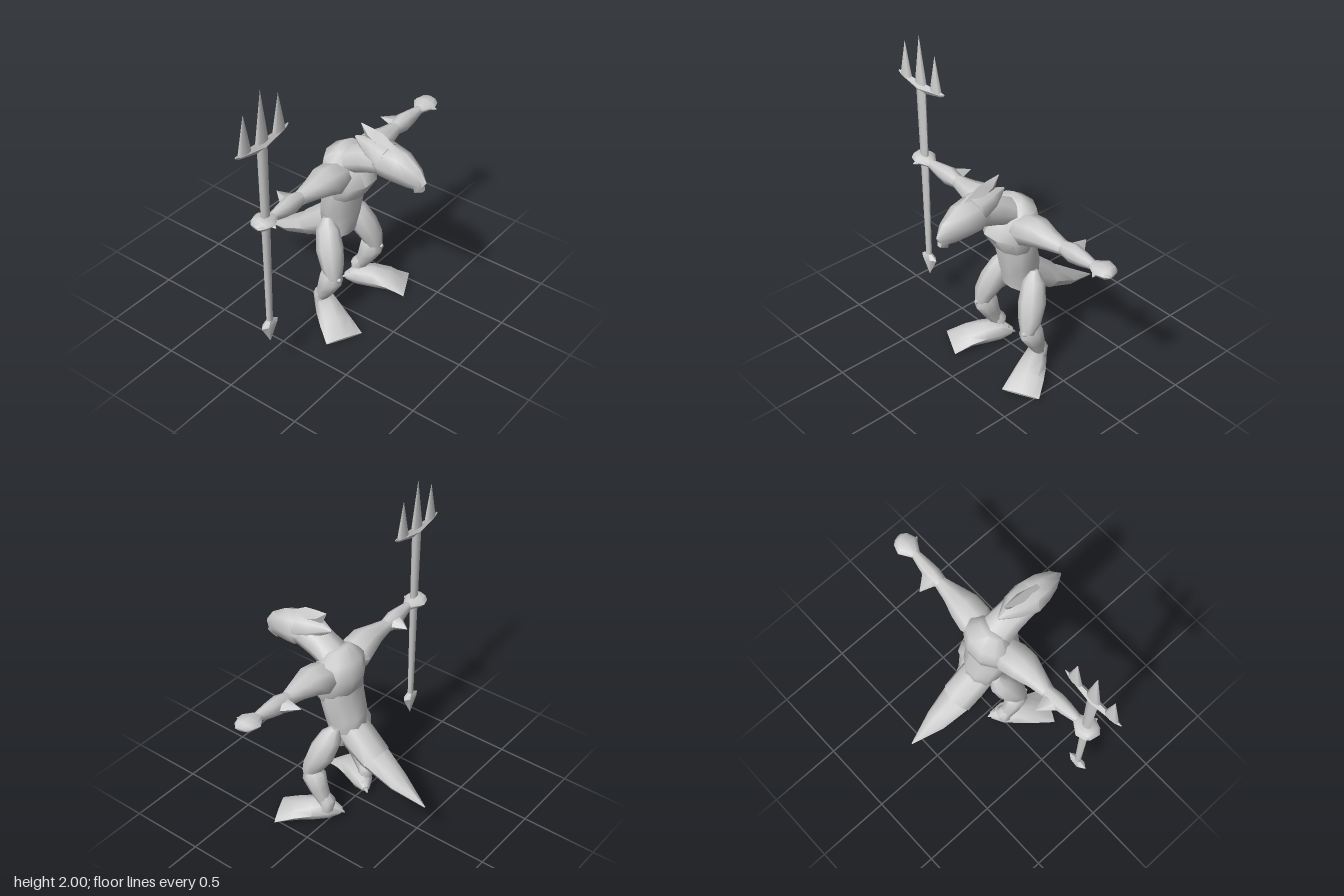
import * as THREE from 'three';
import { toCreasedNormals } from 'three/addons/utils/BufferGeometryUtils.js';

const V3 = (x, y, z) => new THREE.Vector3(x, y, z);

// Skin elliptical rings [x, y, z, halfWidth, halfDepth]; ref is the direction of halfWidth.
function loft(rings, ref, sides = 8, crease = 1.0) {
  const pts = rings.map(r => V3(r[0], r[1], r[2]));
  const pos = [], idx = [], last = rings.length - 1;
  rings.forEach((r, i) => {
    const t = pts[Math.min(i + 1, last)].clone().sub(pts[Math.max(i - 1, 0)]).normalize();
    const u = ref.clone().addScaledVector(t, -ref.dot(t)).normalize();
    const v = t.clone().cross(u);
    for (let j = 0; j < sides; j++) {
      const a = (j / sides) * Math.PI * 2;
      const p = pts[i].clone().addScaledVector(u, Math.cos(a) * r[3]).addScaledVector(v, Math.sin(a) * r[4]);
      pos.push(p.x, p.y, p.z);
    }
  });
  for (let i = 0; i < last; i++) {
    for (let j = 0; j < sides; j++) {
      const k = (j + 1) % sides;
      const a = i * sides + j, b = i * sides + k, c = b + sides, d = a + sides;
      idx.push(a, b, c, a, c, d);
    }
  }
  // end caps
  const n = pos.length / 3;
  pos.push(...pts[0].toArray(), ...pts[last].toArray());
  for (let j = 0; j < sides; j++) {
    const k = (j + 1) % sides;
    idx.push(n, k, j, n + 1, last * sides + j, last * sides + k);
  }
  const g = new THREE.BufferGeometry();
  g.setAttribute('position', new THREE.Float32BufferAttribute(pos, 3));
  g.setIndex(idx);
  return toCreasedNormals(g, crease);
}

export function createModel() {
  const model = new THREE.Group();
  model.name = 'reptileWarrior';
  const grey = new THREE.MeshStandardMaterial({ color: 0xcccccc });
  grey.name = 'lightGrey';
  const X = V3(1, 0, 0), Z = V3(0, 0, 1);
  const add = (name, geo, parent = model) => {
    const m = new THREE.Mesh(geo, grey);
    m.name = name;
    parent.add(m);
    return m;
  };
  const group = name => {
    const g = new THREE.Group();
    g.name = name;
    model.add(g);
    return g;
  };

  // Torso
  add('chest', loft([
    [0.083, 0.89, 0.075, 0.15, 0.1], [0.083, 0.98, 0.085, 0.185, 0.165],
    [0.08, 1.08, 0.05, 0.175, 0.145], [0.078, 1.15, 0.045, 0.16, 0.115],
    [0.076, 1.21, 0.07, 0.09, 0.05]], X, 10));
  add('abdomen', loft([
    [0.08, 0.55, 0.03, 0.105, 0.075], [0.08, 0.65, 0, 0.12, 0.125],
    [0.08, 0.75, 0.01, 0.14, 0.13], [0.08, 0.87, 0.04, 0.16, 0.115],
    [0.08, 0.97, 0.05, 0.16, 0.12]], X, 10));

  // Tail
  add('tailBase', loft([
    [0.08, 0.68, 0.01, 0.11, 0.11], [0.082, 0.6, -0.1, 0.118, 0.1],
    [0.085, 0.505, -0.23, 0.114, 0.084]], X));
  add('tailTip', loft([
    [0.085, 0.51, -0.22, 0.11, 0.08], [0.09, 0.405, -0.41, 0.077, 0.052],
    [0.098, 0.315, -0.62, 0.004, 0.003]], X));

  // Neck and head
  add('neck', loft([
    [0.075, 1.12, 0.06, 0.12, 0.08], [0.075, 1.19, 0.21, 0.105, 0.095],
    [0.075, 1.235, 0.36, 0.1, 0.09]], X));
  add('head', loft([
    [0.075, 1.23, 0.32, 0.1, 0.08], [0.075, 1.235, 0.36, 0.113, 0.11],
    [0.075, 1.22, 0.46, 0.097, 0.11], [0.075, 1.18, 0.56, 0.058, 0.085],
    [0.075, 1.145, 0.625, 0.014, 0.043]], X));
  add('hookedBeak', loft([
    [0.075, 1.17, 0.565, 0.05, 0.06], [0.075, 1.115, 0.595, 0.028, 0.038],
    [0.075, 1.08, 0.565, 0.004, 0.004]], X, 6));
  add('headCowl', loft([
    [0.075, 1.25, 0.36, 0.108, 0.1], [0.075, 1.285, 0.25, 0.085, 0.07],
    [0.075, 1.305, 0.125, 0.008, 0.008]], X));
  add('headCrest', loft([
    [0.075, 1.31, 0.46, 0.03, 0.01], [0.075, 1.335, 0.31, 0.035, 0.066],
    [0.075, 1.362, 0.23, 0.022, 0.054], [0.075, 1.415, 0.165, 0.003, 0.003]], X, 4, 0.5));

  for (const s of [1, -1]) {
    const side = s > 0 ? 'left' : 'right';
    const flip = (c, rings) => rings.map(r => [c + s * r[0], ...r.slice(1)]);

    // Arms
    const arm = group(side + 'Arm');
    const armPart = (name, rings, sides = 8) => add(name, loft(flip(0.07, rings), Z, sides), arm);
    armPart('upperArm', [
      [0.09, 1.07, 0.08, 0.09, 0.07], [0.17, 1.07, 0.08, 0.115, 0.1],
      [0.27, 1.1, 0.085, 0.105, 0.086], [0.38, 1.1, 0.085, 0.07, 0.06],
      [0.48, 1.1, 0.08, 0.045, 0.045]]);
    armPart('forearm', [
      [0.46, 1.1, 0.08, 0.04, 0.04], [0.56, 1.105, 0.08, 0.055, 0.063],
      [0.64, 1.11, 0.085, 0.045, 0.05], [0.74, 1.12, 0.09, 0.028, 0.028]]);
    armPart('hand', [
      [0.72, 1.12, 0.09, 0.03, 0.022], [0.8, 1.13, 0.085, 0.08, 0.036],
      [0.86, 1.13, 0.085, 0.06, 0.036], [0.885, 1.125, 0.08, 0.035, 0.012]]);
    add('thumb', loft(flip(0.07, [
      [0.79, 1.125, 0.11, 0.04, 0.022], [0.81, 1.12, 0.175, 0.004, 0.004]]), X, 6), arm);
    add('elbowSpike', loft(flip(0.07, [
      [0.545, 1.105, 0.06, 0.07, 0.045], [0.52, 1.115, -0.06, 0.002, 0.002]]), X, 6), arm);

    // Legs
    const leg = group(side + 'Leg');
    const legPart = (name, rings, ref = X) => add(name, loft(flip(0.083, rings), ref), leg);
    legPart('thigh', [
      [0.125, 0.71, -0.005, 0.03, 0.03], [0.145, 0.64, 0.015, 0.07, 0.075],
      [0.18, 0.52, 0.06, 0.085, 0.09], [0.21, 0.42, 0.105, 0.075, 0.07],
      [0.22, 0.34, 0.13, 0.05, 0.045]]);
    legPart('shin', [
      [0.215, 0.385, 0.12, 0.05, 0.05], [0.215, 0.335, 0.1, 0.072, 0.083],
      [0.215, 0.25, 0.065, 0.06, 0.065], [0.205, 0.15, 0.02, 0.045, 0.042]]);
    legPart('kneeStud', [
      [0.225, 0.35, 0.15, 0.025, 0.025], [0.225, 0.352, 0.182, 0.01, 0.01]]);
    legPart('ankle', [
      [0.205, 0.2, 0.03, 0.04, 0.035], [0.2, 0.16, 0.005, 0.055, 0.048],
      [0.2, 0.09, 0.01, 0.05, 0.045]]);
    legPart('foot', [
      [0.13, 0.055, -0.05, 0.025, 0.025], [0.17, 0.075, 0.01, 0.07, 0.068],
      [0.23, 0.07, 0.1, 0.092, 0.07], [0.285, 0.054, 0.19, 0.108, 0.054],
      [0.34, 0.014, 0.3, 0.125, 0.01]], V3(0.89 * s, 0, -0.45));
    legPart('heelSpur', [
      [0.15, 0.08, -0.01, 0.035, 0.035], [0.12, 0.04, -0.07, 0.004, 0.004]]);
  }

  // Trident
  const trident = group('trident');
  add('shaft', loft([
    [-0.725, 0.34, 0.09, 0.021, 0.018], [-0.728, 1, 0.09, 0.031, 0.02],
    [-0.735, 1.64, 0.09, 0.041, 0.021]], X), trident);
  add('buttPoint', loft([
    [-0.725, 0.22, 0.09, 0.002, 0.002], [-0.725, 0.355, 0.09, 0.075, 0.03],
    [-0.725, 0.385, 0.09, 0.025, 0.018]], X, 6, 0.6), trident);
  add('crossbar', loft([
    [-0.955, 1.677, 0.09, 0.003, 0.007], [-0.92, 1.666, 0.09, 0.012, 0.017],
    [-0.735, 1.642, 0.09, 0.026, 0.04],
    [-0.545, 1.666, 0.09, 0.012, 0.017], [-0.51, 1.677, 0.09, 0.003, 0.007]], Z, 4, 0.5), trident);
  for (const [x, top] of [[-0.88, 1.915], [-0.736, 2], [-0.59, 1.915]]) {
    const base = 1.67;
    const prong = add('prong', new THREE.ConeGeometry(0.054, top - base, 8), trident);
    prong.scale.z = 0.4;
    prong.position.set(x, (top + base) / 2, 0.09);
  }
  return model;
}
